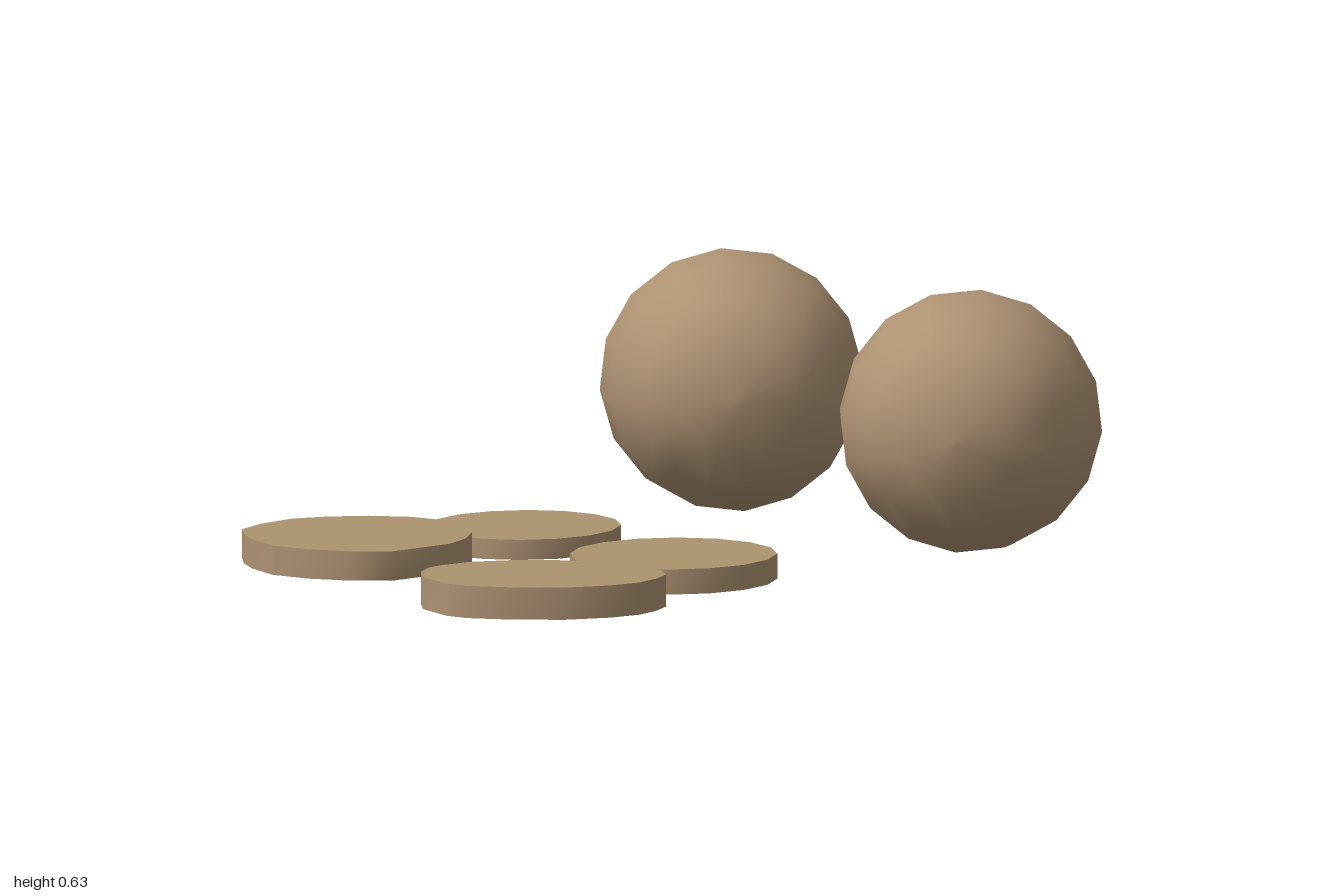
import * as THREE from 'three';

const skin = new THREE.MeshStandardMaterial({ name: 'potatoSkin', color: 0xae9273 });
const flesh = new THREE.MeshStandardMaterial({ name: 'potatoFlesh', color: 0xac936f });

// Egg-shaped body of revolution, blunt at the near end: [radius, distance along axis]
const profile = [
  [0, -0.01], [0.14, 0], [0.23, 0.098], [0.297, 0.22], [0.312, 0.36],
  [0.277, 0.495], [0.217, 0.652], [0.118, 0.753], [0, 0.777],
].map(([r, t]) => new THREE.Vector2(r, t));

function potato(name, x, z, dx, dz) {
  const mesh = new THREE.Mesh(new THREE.LatheGeometry(profile, 16), skin);
  mesh.name = name;
  mesh.position.set(x, 0.315, z);
  mesh.quaternion.setFromUnitVectors(
    new THREE.Vector3(0, 1, 0), new THREE.Vector3(dx, 0, dz).normalize());
  return mesh;
}

// Thin slice: a cylinder whose rim is moved onto an outline of [x, z] points
function slice(name, outline, bottom, top) {
  const n = outline.length;
  const geo = new THREE.CylinderGeometry(1, 1, top - bottom, n);
  const pos = geo.attributes.position;
  const centre = [0, 1].map(k => outline.reduce((s, p) => s + p[k], 0) / n);
  for (let i = 0; i < pos.count; i++) {
    const x = pos.getX(i), z = pos.getZ(i);
    const step = Math.round(Math.atan2(x, z) / (2 * Math.PI) * n);
    const p = Math.hypot(x, z) < 0.5 ? centre : outline[(2 * n - step) % n];
    pos.setXYZ(i, p[0], pos.getY(i) + (bottom + top) / 2, p[1]);
  }
  geo.computeVertexNormals();
  const mesh = new THREE.Mesh(geo, [skin, flesh, flesh]);
  mesh.name = name;
  return mesh;
}

// Oval outline, ordered like the hand-placed ones
function oval(cx, cz, rx, rz, n = 16) {
  return Array.from({ length: n }, (_, i) => {
    const a = i / n * Math.PI * 2;
    return [cx - rx * Math.cos(a), cz - rz * Math.sin(a)];
  });
}

export function createModel() {
  const group = new THREE.Group();
  group.name = 'potatoesAndSlices';

  // Whole potatoes
  group.add(potato('backPotato', 0.41, -0.135, 0.65, -0.76));
  group.add(potato('frontPotato', 0.34, 0.675, 0.76, -0.65));

  // Irregular slices
  group.add(slice('backOuterSlice', [
    [-1, -0.26], [-0.97, -0.36], [-0.93, -0.43], [-0.88, -0.49], [-0.79, -0.52],
    [-0.68, -0.525], [-0.6, -0.49], [-0.52, -0.43], [-0.46, -0.35], [-0.44, -0.26],
    [-0.46, -0.17], [-0.52, -0.08], [-0.6, -0.02], [-0.68, 0.01], [-0.86, 0],
    [-0.93, -0.07], [-0.98, -0.16],
  ], 0.04, 0.11));
  group.add(slice('frontOuterSlice', [
    [-0.96, 0.29], [-0.93, 0.18], [-0.88, 0.12], [-0.82, 0.085], [-0.77, 0.08],
    [-0.69, 0.09], [-0.6, 0.14], [-0.52, 0.22], [-0.46, 0.31], [-0.44, 0.4],
    [-0.45, 0.49], [-0.49, 0.55], [-0.55, 0.58], [-0.62, 0.595], [-0.7, 0.58],
    [-0.8, 0.53], [-0.89, 0.44], [-0.95, 0.35],
  ], 0, 0.077));

  // Round slices
  group.add(slice('backInnerSlice', oval(-0.155, -0.283, 0.235, 0.223), 0.017, 0.065));
  group.add(slice('frontInnerSlice', oval(-0.18, 0.253, 0.25, 0.24), 0, 0.06));

  return group;
}
